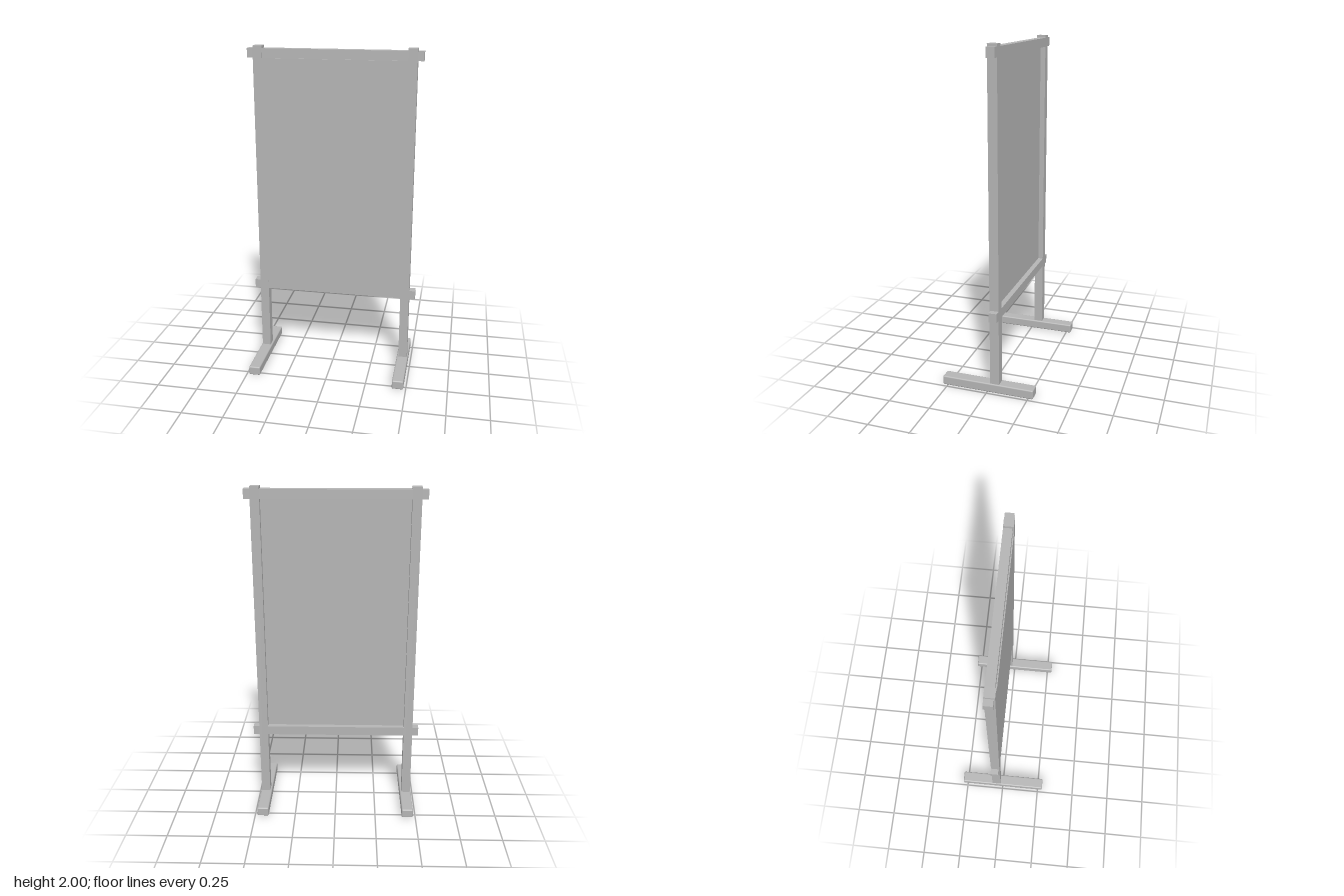
import * as THREE from 'three';
import { RoundedBoxGeometry } from 'three/addons/geometries/RoundedBoxGeometry.js';

export function createModel() {
  const group = new THREE.Group();
  const grey = new THREE.MeshStandardMaterial({ color: 0xb4b4b4 });
  grey.name = 'grey';

  const add = (name, geometry, x, y, z) => {
    const mesh = new THREE.Mesh(geometry, grey);
    mesh.name = name;
    mesh.position.set(x, y, z);
    group.add(mesh);
  };
  // Box given by its lower and upper corners
  const box = (name, a, b) => add(
    name,
    new THREE.BoxGeometry(b[0] - a[0], b[1] - a[1], b[2] - a[2]),
    (a[0] + b[0]) / 2, (a[1] + b[1]) / 2, (a[2] + b[2]) / 2
  );

  const front = -0.018, back = -0.073, railFront = -0.024;
  const inner = 0.425, outer = 0.479;

  // Posts standing on softly rounded feet
  for (const [side, s] of [['left', 1], ['right', -1]]) {
    const x0 = s > 0 ? inner : -outer;
    box(side + 'Post', [x0, 0.05, back], [x0 + outer - inner, 2, front]);
    add(side + 'Foot', new RoundedBoxGeometry(0.07, 0.056, 0.56, 3, 0.008), s * 0.45, 0.028, 0);
  }

  // Cross rails: middle span plus the tenon ends that stick out past the posts
  for (const [name, y] of [['bottom', 0.465], ['top', 1.93]]) {
    const y1 = y + 0.055;
    box(name + 'Rail', [-inner, y, back], [inner, y1, railFront]);
    box(name + 'LeftRailEnd', [outer, y, back], [0.515, y1, railFront]);
    box(name + 'RightRailEnd', [-0.515, y, back], [-outer, y1, railFront]);
  }

  // Board set between the rails, flush with the front of the posts
  box('board', [-inner, 0.52, -0.042], [inner, 1.93, front]);

  return group;
}
